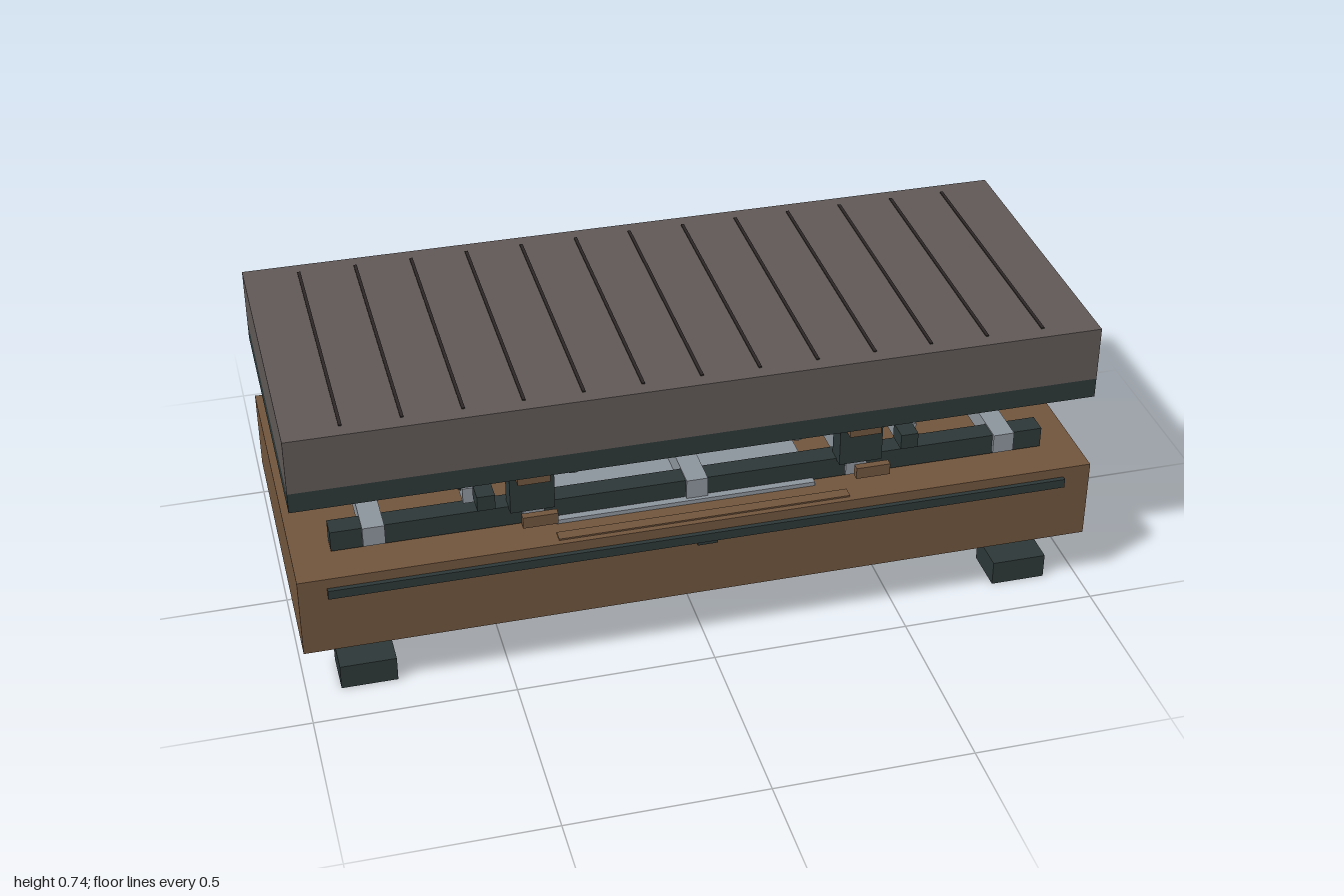
import * as THREE from 'three';

export function createModel() {
  const root = new THREE.Group();
  const mat = (name, color) => {
    const m = new THREE.MeshStandardMaterial({ color });
    m.name = name;
    return m;
  };
  const wood = mat('brown wood', 0x70543c);
  const fabric = mat('mattress fabric', 0x5f5856);
  const dark = mat('dark frame', 0x2d3737);
  const steel = mat('grey steel', 0x8c949c);
  const black = mat('black rod', 0x222828);
  const seam = mat('dark seam', 0x2c2726);

  const add = (name, geo, m) => {
    const mesh = new THREE.Mesh(geo, m);
    mesh.name = name;
    root.add(mesh);
    return mesh;
  };
  // Box from its minimum and maximum on each axis
  const box = (name, m, x0, x1, y0, y1, z0, z1) => {
    const mesh = add(name, new THREE.BoxGeometry(x1 - x0, y1 - y0, z1 - z0), m);
    mesh.position.set((x0 + x1) / 2, (y0 + y1) / 2, (z0 + z1) / 2);
    return mesh;
  };
  // Round bar between two points
  const rod = (name, m, a, b, r) => {
    const p = new THREE.Vector3(...a), q = new THREE.Vector3(...b);
    const mesh = add(name, new THREE.CylinderGeometry(r, r, p.distanceTo(q), 20), m);
    mesh.position.copy(p).lerp(q, 0.5);
    mesh.quaternion.setFromUnitVectors(new THREE.Vector3(0, 1, 0), q.sub(p).normalize());
    return mesh;
  };

  // Storage base with four feet
  box('base', wood, -1, 1, 0.145, 0.355, -0.43, 0.415);
  for (const s of [-1, 1]) {
    for (const [z0, z1] of [[0.27, 0.387], [-0.4, -0.285]]) {
      box('foot', dark, s * 0.845 - 0.07, s * 0.845 + 0.07, 0, 0.065, z0, z1);
    }
  }
  box('frontRail', dark, -0.93, 0.93, 0.304, 0.328, 0.413, 0.427);
  box('railCatch', dark, -0.025, 0.025, 0.295, 0.305, 0.413, 0.424);
  box('lidStrip', wood, -0.365, 0.37, 0.354, 0.359, 0.37, 0.4);
  box('lidPlate', steel, -0.36, 0.3, 0.354, 0.366, -0.065, 0.332);

  // Mattress on its frame, with raised seams across the top
  box('mattressFrame', dark, -1, 1, 0.545, 0.597, -0.41, 0.395);
  box('mattress', fabric, -1, 1, 0.597, 0.74, -0.41, 0.395);
  for (let i = -6; i <= 6; i++) {
    const x = i * 0.1435;
    box('seam', seam, x - 0.004, x + 0.004, 0.738, 0.743, -0.37, 0.357);
  }

  // Lower carriage: two long rails and five cross members
  box('carriageRailFront', dark, -0.904, 0.904, 0.36, 0.414, 0.26, 0.313);
  box('carriageRailBack', dark, -0.904, 0.904, 0.36, 0.414, -0.328, -0.275);
  for (const x of [-0.8, -0.41, 0, 0.41, 0.8]) {
    box('crossMember', steel, x - 0.027, x + 0.027, 0.366, 0.418, -0.335, 0.322);
  }

  // Lift hardware, repeated on both sides, front and back
  const zMid = -0.008;
  for (const f of [-1, 1]) {
    const span = (name, m, x0, x1, y0, y1, n, w) =>
      box(name, m, x0, x1, y0, y1, zMid + (f > 0 ? n : -w), zMid + (f > 0 ? w : -n));
    const zArm = zMid + f * 0.224, zStrut = zMid + f * 0.26;
    for (const s of [-1, 1]) {
      const x = s * 0.415;
      span('post', dark, x - 0.055, x + 0.055, 0.41, 0.546, 0.29, 0.345);
      span('postTab', wood, x - 0.04, x + 0.04, 0.507, 0.525, 0.34, 0.374);
      span('postCap', dark, x - 0.055, x + 0.055, 0.525, 0.546, 0.34, 0.355);
      span('strutBlock', dark, s * 0.532 - 0.022, s * 0.532 + 0.022, 0.448, 0.488, 0.312, 0.37);
      span('strutFoot', steel, s * 0.55 - 0.026, s * 0.55 + 0.026, 0.424, 0.466, 0.21, 0.295);
      rod('strutRod', steel, [s * 0.69, 0.552, zStrut], [s * 0.6, 0.485, zStrut], 0.008);
      rod('strutSleeve', dark, [s * 0.61, 0.494, zStrut], [s * 0.56, 0.457, zStrut], 0.022);

      // Ring ends of the scissor arms
      for (const y of [0.446, 0.528]) {
        const ring = add('armEye', new THREE.TorusGeometry(0.02, 0.008, 10, 24), steel);
        ring.position.set(s * 0.288, y, zArm);
      }
    }
    rod('scissorArmDark', black, [-0.27, 0.448, zArm - f * 0.008], [0.27, 0.526, zArm - f * 0.008], 0.013);
    rod('scissorArmSteel', steel, [-0.27, 0.526, zArm + f * 0.006], [0.27, 0.448, zArm + f * 0.006], 0.013);
  }
  rod('pivotRod', black, [0, 0.487, -0.23], [0, 0.487, 0.214], 0.014);

  // Small handles ahead of the posts
  for (const s of [-1, 1]) {
    box('handle', wood, s * 0.415 - 0.043, s * 0.415 + 0.043, 0.43, 0.46, 0.414, 0.433);
  }
  return root;
}
